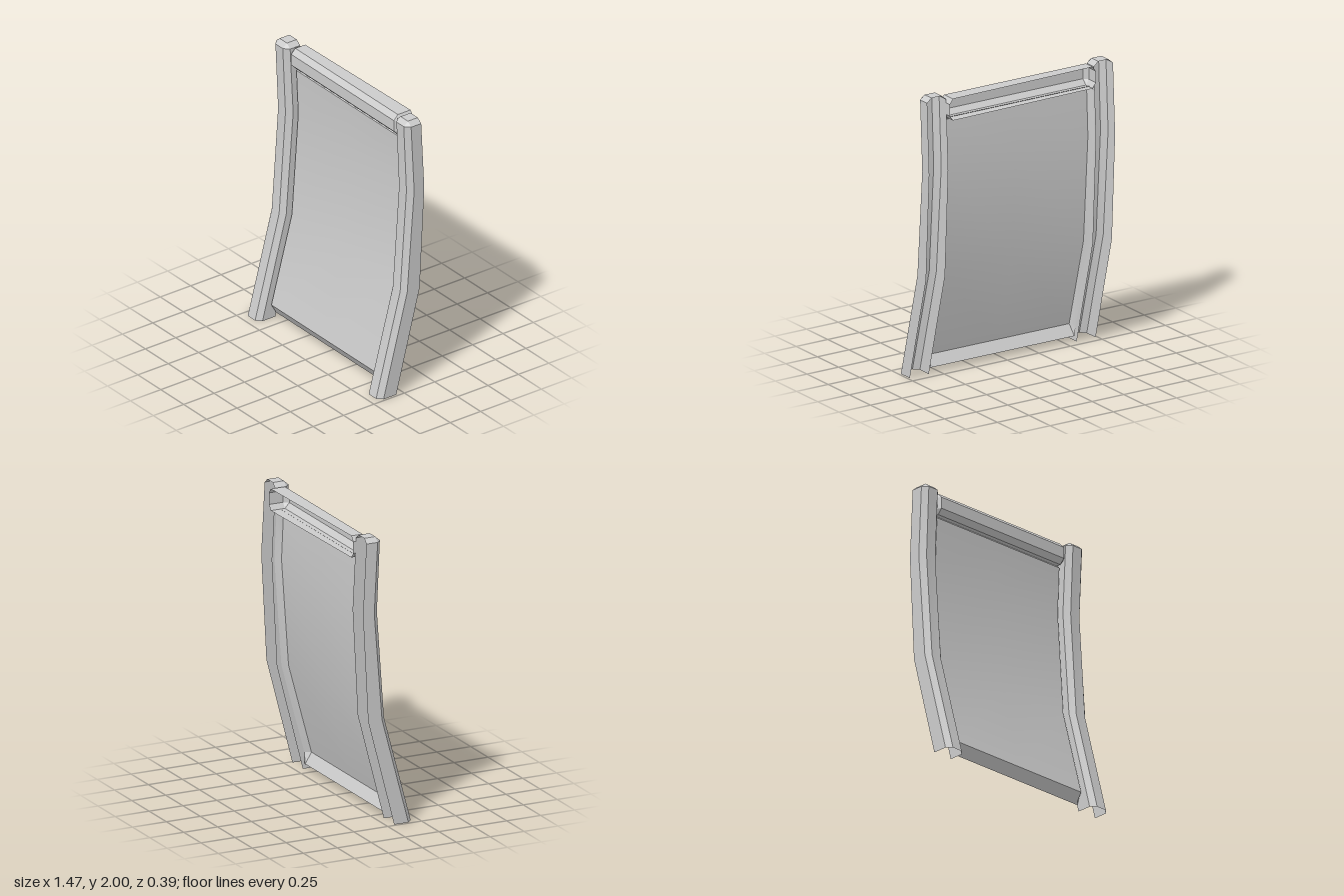
import * as THREE from 'three';
import { toCreasedNormals } from 'three/addons/utils/BufferGeometryUtils.js';

const material = new THREE.MeshStandardMaterial({ color: 0xcccccc, side: THREE.DoubleSide });

// Skins a list of equally long rows of [x, y, z] points, skipping collapsed triangles
function skin(name, rows) {
  const n = rows[0].length;
  const points = rows.flat().map((p) => new THREE.Vector3(...p));
  const index = [];
  const add = (a, b, c) => {
    if (new THREE.Triangle(points[a], points[b], points[c]).getArea() > 1e-7) index.push(a, b, c);
  };
  for (let r = 0; r < rows.length - 1; r++) {
    for (let c = 0; c < n - 1; c++) {
      const a = r * n + c;
      add(a, a + 1, a + n + 1);
      add(a, a + n + 1, a + n);
    }
  }
  const geometry = new THREE.BufferGeometry().setFromPoints(points);
  geometry.setIndex(index);
  const mesh = new THREE.Mesh(toCreasedNormals(geometry, 0.45), material);
  mesh.name = name;
  return mesh;
}

// Bent channel post, open at the back and bottom, with a bevelled cap
function post(name, side) {
  // height, front z, chamfer z, back z
  const stations = [
    [0, 0.195, 0.16, 0.055],
    [0.74, -0.003, -0.035, -0.137],
    [1.48, -0.055, -0.092, -0.175],
    [1.97, -0.033, -0.067, -0.15],
  ];
  const rows = stations.map(([y, front, chamfer, back]) => [
    [0.585, y, back], [0.585, y, chamfer], [0.62, y, front],
    [0.7, y, front], [0.735, y, chamfer], [0.735, y, back],
  ]);
  const capX = [0.62, 0.62, 0.62, 0.7, 0.7, 0.7];
  rows.push(capX.map((x, i) => [x, 2, i === 0 || i === 5 ? -0.148 : -0.067]));
  rows.push(capX.map((x) => [x, 2, -0.148]));
  if (side < 0) rows.forEach((row) => row.reverse().forEach((p) => { p[0] = -p[0]; }));
  return skin(name, rows);
}

// Curved sheet between the posts with edges turned back
function panel() {
  // height, front z, half width at the outer edge
  const stations = [
    [0.04, 0.06, 0.57], [0.115, 0.106, 0.585], [0.74, -0.063, 0.585],
    [1.48, -0.115, 0.585], [1.81, -0.1, 0.585], [1.835, -0.13, 0.57],
  ];
  return skin('backPanel', stations.map(([y, z, w], i) => {
    const edge = i === 0 || i === 5 ? z : z - 0.04;
    return [[-w, y, edge], [-0.56, y, z], [0, y, z], [0.56, y, z], [w, y, edge]];
  }));
}

// Bevelled top bar, open at the back
function topRail() {
  const outer = [
    [0.585, 1.865], [0.585, 1.945], [0.56, 1.98], [-0.56, 1.98],
    [-0.585, 1.945], [-0.585, 1.865], [-0.56, 1.83], [0.56, 1.83], [0.585, 1.865],
  ];
  const inner = outer.map(([x, y]) => [Math.sign(x) * 0.56, y > 1.9 ? 1.945 : 1.865]);
  return skin('topRail', [
    outer.map(([x, y]) => [x, y, -0.183 - x * 0.02]),
    outer.map(([x, y]) => [x, y, -0.09]),
    inner.map(([x, y]) => [x, y, -0.057]),
    inner.map(([x]) => [x, 1.905, -0.057]),
  ]);
}

export function createModel() {
  const model = new THREE.Group();
  model.name = 'chairBack';
  model.add(post('leftPost', 1), post('rightPost', -1), panel(), topRail());
  return model;
}
